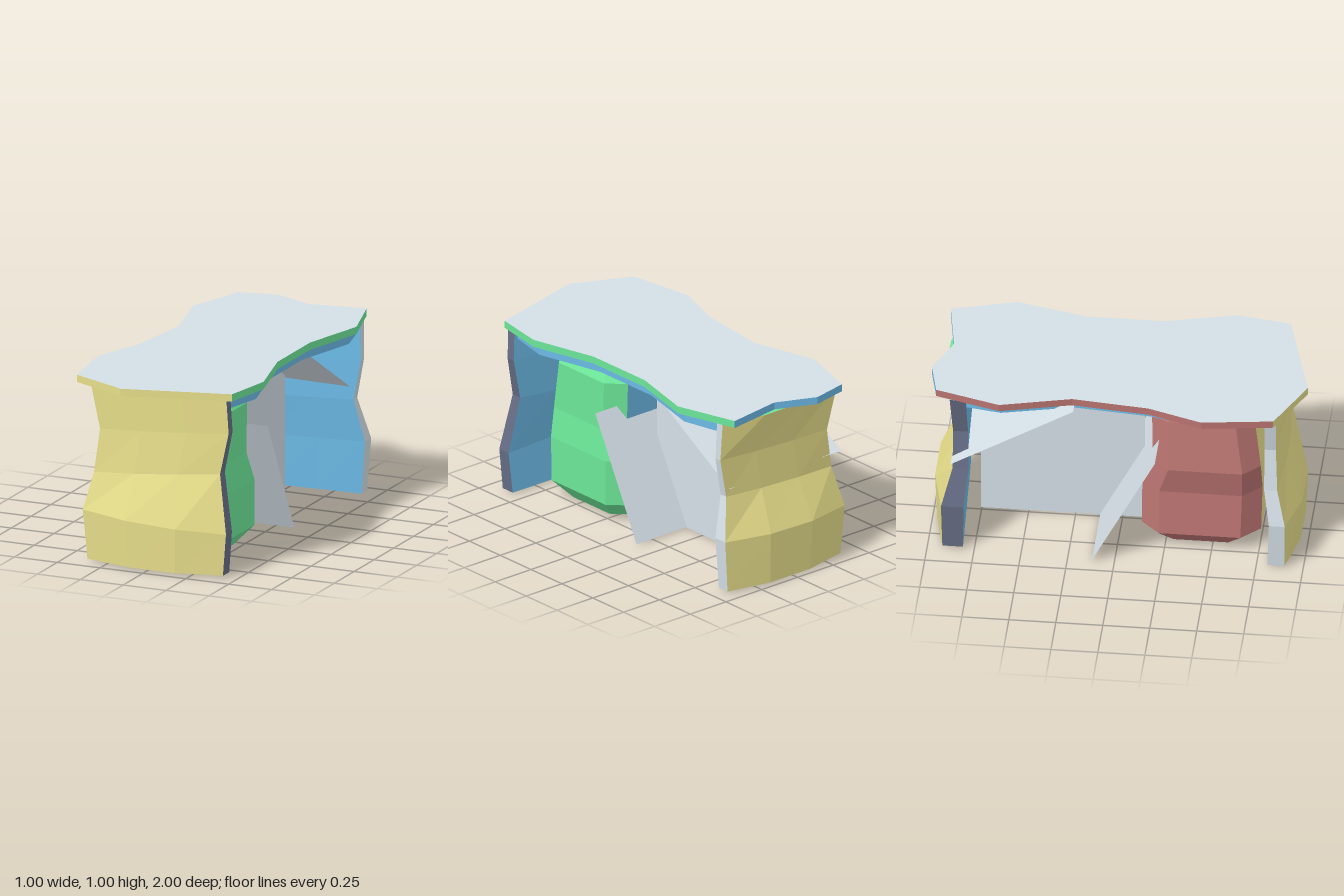
import * as THREE from 'three';

const material = (name, color) => {
  const m = new THREE.MeshStandardMaterial({ color });
  m.name = name;
  return m;
};

export function createModel() {
  const group = new THREE.Group();
  const yellow = material('yellow', 0xe8df8b);
  const blue = material('blue', 0x6cbae6);
  const green = material('green', 0x6ce698);
  const red = material('red', 0xb87370);
  const slate = material('slate', 0x676e86);
  const grey = material('grey', 0xd4dfe6);
  const panelGrey = material('panelGrey', 0xd4dfe6);
  panelGrey.side = THREE.DoubleSide;

  // Material order in each set: +x, -x, +y, -y, +z, -z
  const upright = [green, red, grey, slate, yellow, blue];
  const frontLegSet = [slate, grey, green, red, yellow, blue];
  const backLegSet = [grey, slate, green, red, blue, yellow];
  const leftRailSet = [blue, yellow, green, red, grey, slate];
  const rightRailSet = [yellow, blue, green, red, slate, grey];

  // Skin a stack of horizontal rings, each facet coloured by the way it faces
  function loft(name, rings, mats) {
    const buckets = mats.map(() => []);
    const flat = rings[0].map(p => new THREE.Vector2(p[0], p[2]));
    if (THREE.ShapeUtils.area(flat) > 0) {
      rings = rings.map(r => [...r].reverse());
      flat.reverse();
    }
    const normalOf = (a, b, c) => {
      const [p, q, r] = [a, b, c].map(v => new THREE.Vector3(...v));
      return q.sub(p).cross(r.sub(p)).normalize();
    };
    // Sideways facets win over sloping ones, so bevels keep the side colour
    const put = (tris, n) => {
      const ax = Math.abs(n.x) * 1.6, az = Math.abs(n.z);
      const ay = n.y > 0 ? n.y * 0.5 : -n.y;
      const side = ax >= ay && ax >= az ? (n.x > 0 ? 0 : 1)
        : ay >= az ? (n.y > 0 ? 2 : 3) : (n.z > 0 ? 4 : 5);
      tris.forEach(t => t.forEach(v => buckets[side].push(...v)));
    };
    const count = flat.length;
    for (let k = 0; k < rings.length - 1; k++) {
      for (let i = 0; i < count; i++) {
        const j = (i + 1) % count;
        const a = rings[k][i], b = rings[k][j], c = rings[k + 1][j], d = rings[k + 1][i];
        const n = normalOf(a, b, c).add(normalOf(a, c, d)).normalize();
        put([[a, b, c], [a, c, d]], n);
      }
    }
    const ends = [[rings[0], -1], [rings[rings.length - 1], 1]];
    for (const [ring, sign] of ends) {
      for (const f of THREE.ShapeUtils.triangulateShape(flat.map(p => p.clone()), [])) {
        const t = f.map(i => ring[i]);
        if (normalOf(...t).y * sign < 0) t.reverse();
        put([t], new THREE.Vector3(0, sign, 0));
      }
    }
    const geo = new THREE.BufferGeometry();
    const pos = [];
    buckets.forEach((b, i) => {
      if (b.length) geo.addGroup(pos.length / 3, b.length / 3, i);
      for (const v of b) pos.push(v);
    });
    geo.setAttribute('position', new THREE.Float32BufferAttribute(pos, 3));
    geo.computeVertexNormals();
    const mesh = new THREE.Mesh(geo, mats);
    mesh.name = name;
    group.add(mesh);
  }
  const slab = (outline, y0, y1) => [y0, y1].map(y => outline.map(([x, z]) => [x, y, z]));

  // Wavy tabletop
  loft('tabletop', slab([
    [-0.14, -1], [0.08, -0.905], [0.4, -0.955], [0.5, -0.61], [0.405, -0.23],
    [0.405, 0.18], [0.5, 0.56], [0.45, 0.85], [-0.13, 1], [-0.455, 0.85],
    [-0.505, 0.47], [-0.405, 0.18], [-0.36, -0.23], [-0.455, -0.61], [-0.35, -0.955],
  ], 0.96, 1), upright);

  // Rails under the long edges, following the waves
  const rail = (name, line, inward, bottom, mats) => loft(name, slab(
    [...line, ...line.map(([x, z]) => [x + inward, z]).reverse()], bottom, 0.96), mats);
  rail('leftRail', [[0.4, 0.81], [0.455, 0.56], [0.36, 0.18], [0.36, -0.23],
    [0.455, -0.61], [0.4, -0.85]], -0.04, 0.9, leftRailSet);
  rail('rightRail', [[-0.36, 0.81], [-0.395, 0.47], [-0.32, 0.18], [-0.28, -0.23],
    [-0.37, -0.61], [-0.33, -0.84]], 0.04, 0.89, rightRailSet);

  // End legs, bowed outside and flat inside
  // level: [height right, height left, right x, left x, end z, bulge, thickness]
  const frontLevels = [
    [0.01, 0.01, -0.37, 0.42, 0.9, 0.06, 0.08],
    [0.28, 0.24, -0.395, 0.44, 0.905, 0.065, 0.075],
    [0.48, 0.555, -0.35, 0.385, 0.86, 0.025, 0.06],
    [0.72, 0.78, -0.32, 0.43, 0.85, 0.02, 0.05],
    [0.96, 0.96, -0.37, 0.42, 0.855, 0.02, 0.05],
  ];
  const backLevels = [
    [0.01, 0.01, -0.37, 0.42, 0.92, 0.055, 0.07],
    [0.28, 0.3, -0.395, 0.44, 0.925, 0.06, 0.08],
    [0.5, 0.53, -0.35, 0.385, 0.868, 0.015, 0.045],
    [0.72, 0.75, -0.32, 0.425, 0.868, 0.01, 0.04],
    [0.96, 0.96, -0.38, 0.42, 0.88, 0.05, 0.045],
  ];
  const leg = (name, levels, dir, skew, mats) => loft(name, levels.map(
    ([yr, yl, xr, xl, z, bulge, thickness]) => {
      const row = offset => [0, 0.33, 0.68, 1].map(t => [
        xr + (xl - xr) * t, yr + (yl - yr) * t, dir * (z + offset(t)),
      ]);
      return [
        ...row(t => (t > 0 && t < 1 ? bulge : 0)),
        ...row(t => -thickness - skew * (1 - t)).reverse(),
      ];
    }), mats);
  leg('frontLeg', frontLevels, 1, 0.01, frontLegSet);
  leg('backLeg', backLevels, -1, 0.04, backLegSet);

  // Wavy bevelled seat block; level: [y, left x, right x, back z, front z, corner cut]
  const seat = [
    [0, 0.2, -0.17, 0.22, 0.65, 0.07], [0.1, 0.29, -0.265, 0.12, 0.755, 0.1],
    [0.35, 0.29, -0.235, 0.12, 0.76, 0.1], [0.51, 0.265, -0.265, 0.18, 0.755, 0.09],
    [0.78, 0.265, -0.21, 0.17, 0.715, 0.09], [0.885, 0.195, -0.16, 0.25, 0.62, 0.05],
  ].map(([y, l, r, b, f, c]) => [
    [l, b + c], [l, f - c], [l - c, f], [r + c, f],
    [r, f - c], [r, b + c], [r + c, b], [l - c, b],
  ].map(([x, z]) => [x, y, z]));
  loft('seatBlock', seat, upright);

  // Loose flat panels: one upright, two leaning
  const panel = (name, width, height, position, rotation) => {
    const mesh = new THREE.Mesh(new THREE.PlaneGeometry(width, height), panelGrey);
    mesh.name = name;
    mesh.position.set(...position);
    mesh.rotation.set(...rotation);
    group.add(mesh);
  };
  panel('uprightPanel', 0.875, 0.88, [0.015, 0.442, -0.318], [0, Math.PI / 2, 0]);
  const leaning = (name, y0, z0, y1, z1) => panel(name, 0.78, Math.hypot(y1 - y0, z1 - z0),
    [-0.025, (y0 + y1) / 2, (z0 + z1) / 2], [Math.atan2(z1 - z0, y1 - y0), 0, 0]);
  leaning('steepPanel', 0.005, -0.12, 0.65, 0.215);
  leaning('shallowPanel', 0.57, -0.872, 0.955, -0.22);

  return group;
}
